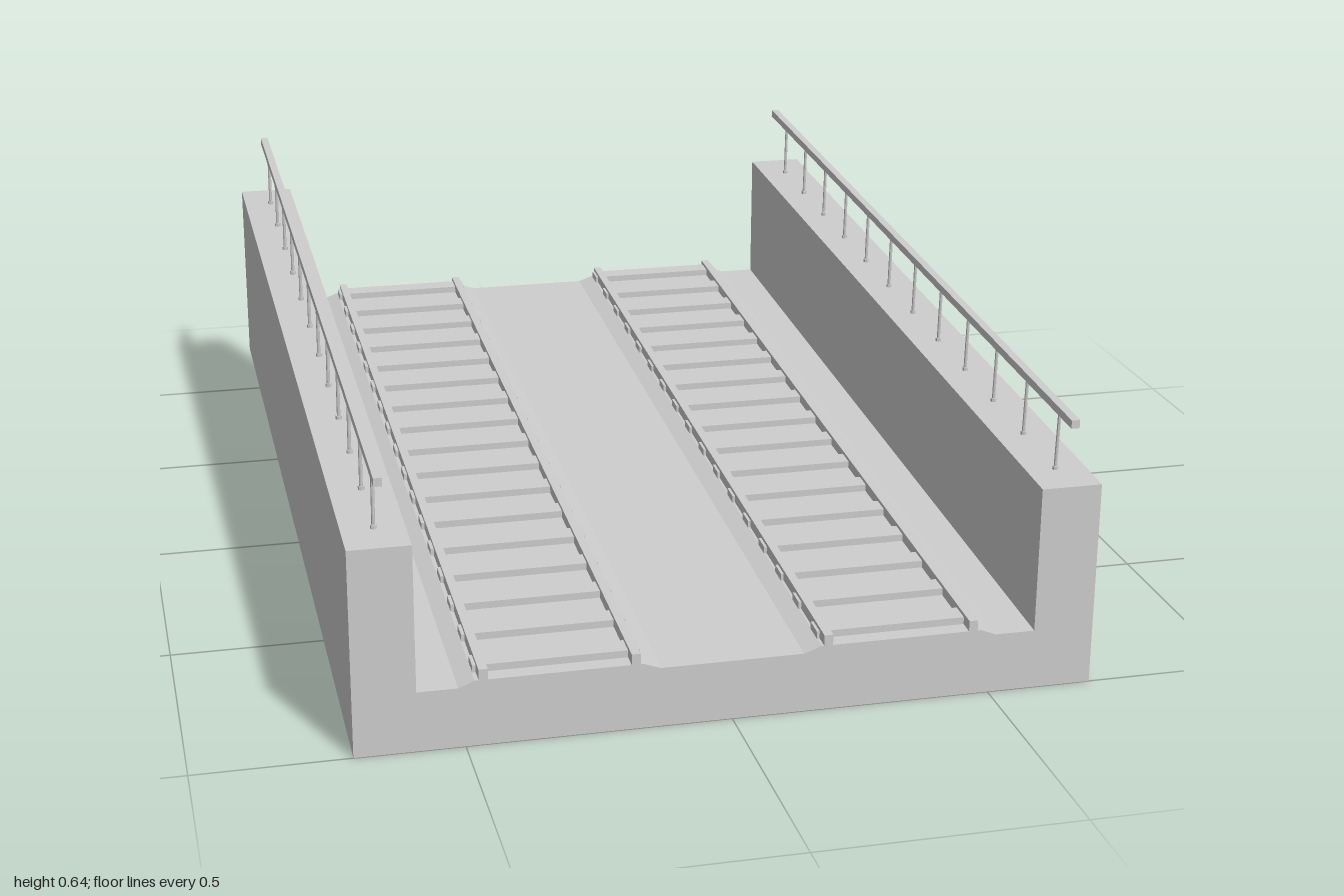
import * as THREE from 'three';

const SLOPE = 0.053;
const material = new THREE.MeshStandardMaterial({ color: 0xcccccc, flatShading: true });

// Shear a geometry so it climbs towards the back while its ends stay vertical
function incline(geometry) {
  const p = geometry.attributes.position;
  for (let i = 0; i < p.count; i++) p.setY(i, p.getY(i) + SLOPE * (1 - p.getZ(i)));
  geometry.computeVertexNormals();
  return geometry;
}

function add(parent, name, geometry) {
  const mesh = new THREE.Mesh(incline(geometry), material);
  mesh.name = name;
  parent.add(mesh);
}

function box(x0, x1, y0, y1, z0, z1) {
  return new THREE.BoxGeometry(x1 - x0, y1 - y0, z1 - z0)
    .translate((x0 + x1) / 2, (y0 + y1) / 2, (z0 + z1) / 2);
}

export function createModel() {
  const model = new THREE.Group();
  model.name = 'inclinedTrackway';

  // Trough with side walls and two raised track beds, one half mirrored
  const half = [
    [0.705, 0], [0.705, 0.405], [0.588, 0.405], [0.588, 0.118], [0.512, 0.118],
    [0.482, 0.13], [0.17, 0.13], [0.136, 0.118],
  ];
  const outline = [...half, ...half.map(([x, y]) => [-x, y]).reverse()];
  const shape = new THREE.Shape(outline.map(([x, y]) => new THREE.Vector2(x, y)));
  add(model, 'trough',
    new THREE.ExtrudeGeometry(shape, { depth: 2, bevelEnabled: false }).translate(0, 0, -1));

  for (const side of [1, -1]) {
    const label = side > 0 ? 'left' : 'right';

    // Track: two rails over evenly spaced sleepers
    const track = new THREE.Group();
    track.name = label + 'Track';
    model.add(track);
    for (const x of [0.183, 0.466]) {
      add(track, 'rail', box(side * x - 0.0085, side * x + 0.0085, 0.125, 0.151, -1, 1));
    }
    for (let i = 0; i < 17; i++) {
      const z = 0.95 - 0.12 * i;
      const x = side * 0.325;
      add(track, 'sleeper', box(x - 0.156, x + 0.156, 0.125, 0.144, z - 0.02, z + 0.02));
    }

    // Handrail: a long bar on thin posts that stand square to the slope
    const handrail = new THREE.Group();
    handrail.name = label + 'Handrail';
    model.add(handrail);
    const hx = side * 0.645;
    add(handrail, 'handrailBar', box(hx - 0.008, hx + 0.008, 0.521, 0.537, -1, 1));
    for (let i = 0; i < 12; i++) {
      const z = 0.921 - 0.165 * i;
      add(handrail, 'handrailPost', new THREE.CylinderGeometry(0.0035, 0.0035, 0.124, 8)
        .rotateX(SLOPE).translate(hx, 0.465, z));
      add(handrail, 'postFoot', new THREE.CylinderGeometry(0.006, 0.006, 0.008, 8)
        .translate(hx, 0.408, z - 0.003));
    }
  }
  return model;
}
